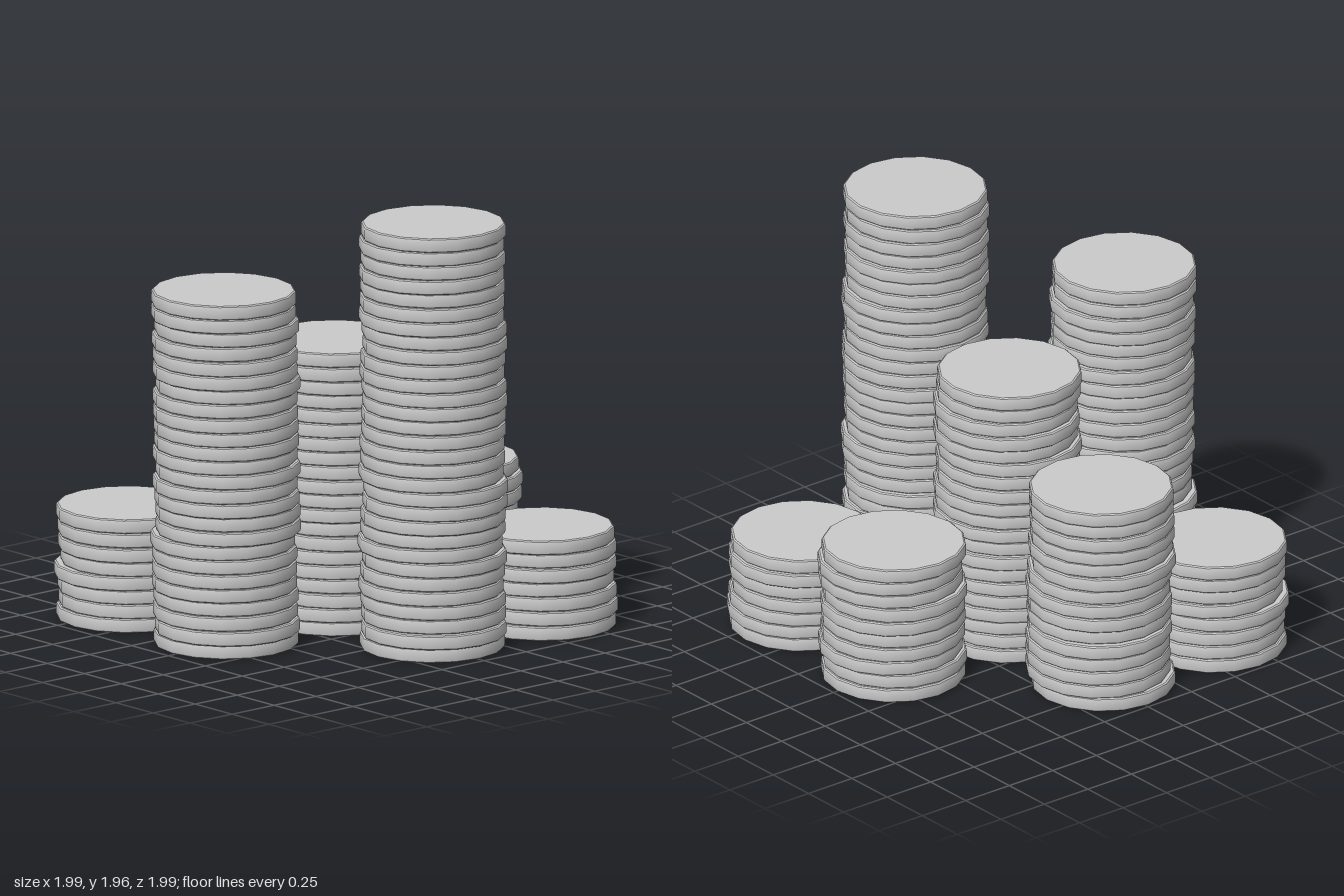
import * as THREE from 'three';
import { toCreasedNormals } from 'three/addons/utils/BufferGeometryUtils.js';

const RADIUS = 0.325, THICKNESS = 0.0653, BEVEL = 0.009, SPACING = 0.657, JITTER = 0.013;

// Column, row and number of coins of each stack
const STACKS = [
  { name: 'leftStack', col: 1, row: 0, count: 30 },
  { name: 'frontStack', col: 0, row: 1, count: 25 },
  { name: 'centreStack', col: 0, row: 0, count: 20 },
  { name: 'rightStack', col: -1, row: 0, count: 15 },
  { name: 'backStack', col: 0, row: -1, count: 10 },
  { name: 'frontRightStack', col: -1, row: 1, count: 8 },
  { name: 'backLeftStack', col: 1, row: -1, count: 7 },
];

// Seeded random numbers from -1 to 1
function seededRandom(seed) {
  return () => {
    seed = (seed * 16807) % 2147483647;
    return (seed / 2147483647) * 2 - 1;
  };
}

// Sixteen-sided coin with a bevelled rim, standing on y = 0
function coinGeometry() {
  const profile = [
    [0, 0],
    [RADIUS - BEVEL, 0],
    [RADIUS - BEVEL * 0.25, BEVEL * 0.55],
    [RADIUS, BEVEL * 1.4],
    [RADIUS, THICKNESS - BEVEL * 1.4],
    [RADIUS - BEVEL * 0.25, THICKNESS - BEVEL * 0.55],
    [RADIUS - BEVEL, THICKNESS],
    [0, THICKNESS],
  ].map(([r, y]) => new THREE.Vector2(r, y));
  return toCreasedNormals(new THREE.LatheGeometry(profile, 16), 0.6);
}

export function createModel() {
  const model = new THREE.Group();
  model.name = 'coinStacks';
  const material = new THREE.MeshStandardMaterial({ color: 0xcccccc });
  const geometry = coinGeometry();
  const random = seededRandom(4321);

  for (const { name, col, row, count } of STACKS) {
    const stack = new THREE.Group();
    stack.name = name;
    stack.position.set(col * SPACING, 0, row * SPACING);
    // Each coin sits slightly off the stack's axis
    for (let i = 0; i < count; i++) {
      const coin = new THREE.Mesh(geometry, material);
      coin.name = 'coin';
      coin.position.set(random() * JITTER, i * THICKNESS, random() * JITTER);
      stack.add(coin);
    }
    model.add(stack);
  }
  return model;
}
